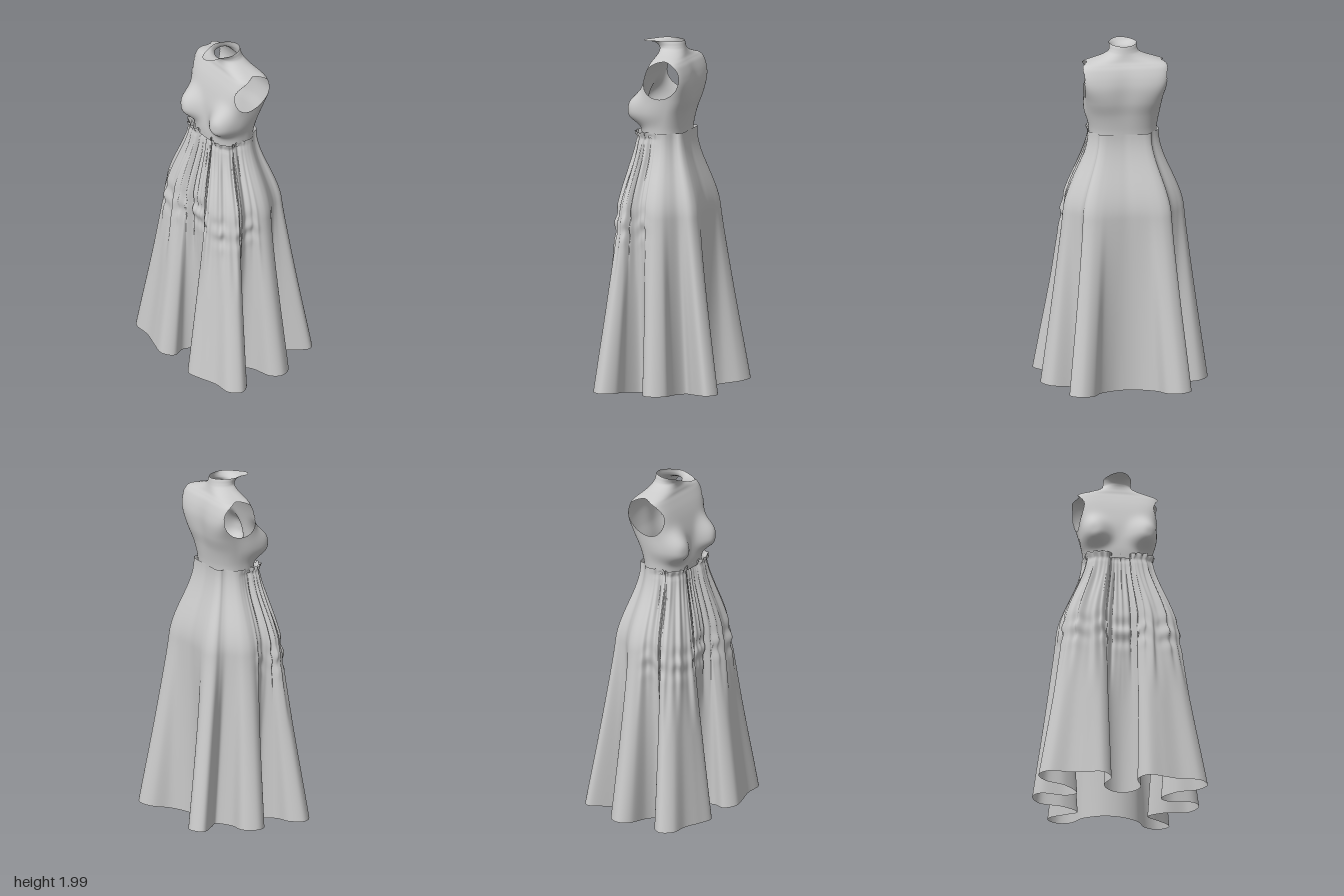
import * as THREE from 'three';

const mat = () => new THREE.MeshStandardMaterial({ color: 0xcccccc, side: THREE.DoubleSide });
const sstep = THREE.MathUtils.smoothstep;
const lerp = THREE.MathUtils.lerp;
const gauss = (d, s) => Math.exp(-(d * d) / (2 * s * s));

// Closed tube of rings: fn(u, v) gives [x, y, z]; u runs around from the front, v runs upward.
// A quad is left out when skip() is true for all its corners; other skipped corners are snapped.
function loft(name, nu, nv, fn, skip = () => false, snap = (p) => p) {
  const raw = [], index = [];
  for (let j = 0; j <= nv; j++) for (let i = 0; i < nu; i++) raw.push(fn(i / nu, j / nv));
  const out = raw.map(skip);
  for (let j = 0; j < nv; j++) {
    for (let i = 0; i < nu; i++) {
      const i2 = (i + 1) % nu;
      const a = j * nu + i, b = j * nu + i2, c = b + nu, d = a + nu;
      if (out[a] && out[b] && out[c] && out[d]) continue;
      index.push(a, b, c, a, c, d);
    }
  }
  const geo = new THREE.BufferGeometry();
  const pos = raw.map((p, k) => (out[k] ? snap(p) : p)).flat();
  geo.setAttribute('position', new THREE.Float32BufferAttribute(pos, 3));
  geo.setIndex(index);
  geo.computeVertexNormals();
  const mesh = new THREE.Mesh(geo, mat());
  mesh.name = name;
  return mesh;
}

// Mirrors a half outline (front centre to back centre) into a closed smooth curve.
function outline(half) {
  const other = half.slice(1, -1).reverse().map(([x, z]) => [-x, z]);
  const pts = [...half, ...other].map(([x, z]) => new THREE.Vector3(x, 0, z));
  return new THREE.CatmullRomCurve3(pts, true, 'catmullrom', 0.5);
}

// Hem with six deep folds, and the softly lobed hip it hangs from
const hem = outline([
  [0, .14], [.065, .165], [.105, .23], [.075, .315], [.13, .368], [.22, .35], [.32, .322], [.43, .318],
  [.482, .255], [.43, .185], [.32, .165], [.24, .1], [.3, .045], [.43, .025], [.475, -.04], [.42, -.115],
  [.29, -.108], [.2, -.155], [.255, -.215], [.34, -.3], [.335, -.345], [.275, -.37], [.207, -.335],
  [.16, -.245], [.085, -.195], [0, -.18]]);
const hip = outline([
  [0, .212], [.045, .21], [.075, .212], [.1, .225], [.135, .237], [.18, .24], [.225, .23], [.27, .213],
  [.305, .185], [.315, .155], [.31, .13], [.305, .1], [.318, .06], [.33, .03], [.335, -.01], [.325, -.05],
  [.3, -.085], [.265, -.12], [.25, -.15], [.245, -.178], [.228, -.198], [.195, -.21], [.155, -.213],
  [.11, -.213], [.055, -.21], [0, -.206]]);

const HIP_Y = 1.05, WAIST_Y = 1.485;

function skirtPoint(u, v) {
  let y = v * WAIST_Y;
  const h = hip.getPoint(u), e = hem.getPoint(u);
  // Folds open gradually below the hip; above it the skirt draws in to the waist
  const drop = HIP_Y - y;
  const s = (drop + Math.sqrt(drop * drop + 0.014)) / 2 / HIP_Y;
  const k = sstep(y, HIP_Y - 0.03, 1.47);
  const x = lerp(h.x, e.x, s) * lerp(1, 0.6, k);
  const z = lerp(h.z, e.z, s) * lerp(1, h.z > 0 ? 0.69 : 0.52, k);
  // Gathers across the front, crumpled at thigh height
  const a = Math.min(u, 1 - u) * Math.PI * 2;
  const front = sstep(h.z, -0.03, 0.12);
  const env = sstep(y, 0.5, 0.95) * (1 - 0.6 * sstep(y, 1.3, 1.45));
  let d = front * env * 0.006 * (Math.sin(a * 24 + 1.5 * y) + 0.8 * Math.sin(a * 37 + 1.3 - 3 * y)
    + 0.6 * Math.sin(a * 55 + 2 * y));
  const crumple = 0.6 + 0.4 * Math.sin(a * 17 + 0.8);
  const wave = y - 0.975 + 0.018 * Math.sin(a * 11) + 0.012 * Math.sin(a * 19 + 2);
  d += front * crumple * 0.01 * Math.cos(wave * 52) * gauss(y - 0.97, 0.06);
  // Gathered frill above the waist seam
  const frill = sstep(y, 1.452, 1.475);
  d += front * (frill * (0.007 + 0.004 * Math.cos(a * 40)) - 0.006 * gauss(y - 1.452, 0.01));
  y += front * frill * 0.003 * Math.cos(a * 33);
  const r = Math.hypot(x, z);
  // Hem rises slightly on the outer folds
  y += 0.005 + 0.026 * (1 - sstep(y, 0, 0.6)) * sstep(r, 0.2, 0.52);
  return [x + (x / r) * d, y, z + (z / r) * d];
}

// Bodice sections: height, half width, front z, back z, squareness
const sections = [
  [1.46, .19, .155, -.105, 2.4], [1.52, .194, .158, -.11, 2.5], [1.6, .206, .152, -.125, 2.8],
  [1.68, .217, .143, -.147, 3.6], [1.76, .23, .124, -.155, 4.8], [1.82, .24, .104, -.146, 5.4],
  [1.87, .243, .082, -.127, 5.2], [1.895, .234, .07, -.11, 4.4], [1.912, .19, .066, -.098, 3.2],
  [1.932, .132, .062, -.09, 2.4], [1.952, .092, .064, -.084, 2.1], [1.968, .08, .075, -.08, 2],
  [1.984, .078, .11, -.077, 2], [1.993, .08, .165, -.075, 2]];

// Smooth value of column c at t along the sections
function section(t, c) {
  const f = t * (sections.length - 1);
  const i = Math.min(Math.floor(f), sections.length - 2), w = f - i;
  const at = (k) => sections[THREE.MathUtils.clamp(k, 0, sections.length - 1)][c];
  const m0 = (at(i + 1) - at(i - 1)) / 2, m1 = (at(i + 2) - at(i)) / 2;
  const w2 = w * w, w3 = w2 * w;
  return (2 * w3 - 3 * w2 + 1) * at(i) + (w3 - 2 * w2 + w) * m0
    + (3 * w2 - 2 * w3) * at(i + 1) + (w3 - w2) * m1;
}

function bodicePoint(u, v) {
  const [y, hw, zf, zb, n] = [0, 1, 2, 3, 4].map((c) => section(v, c));
  const a = u * Math.PI * 2, s = Math.sin(a), c = Math.cos(a);
  // Even spacing around a rounded square of squareness n
  const q = (Math.abs(s) ** n + Math.abs(c) ** n) ** (1 / n);
  let x = (hw * s) / q;
  let z = (zf + zb) / 2 + (((zf - zb) / 2) * c) / q;
  // Chest narrower than the shoulder blades
  x *= 1 - 0.05 * (c / q) * sstep(y, 1.68, 1.8) * (1 - sstep(y, 1.9, 1.93));
  // Rounded bust, steep below, and a shallow groove down the back
  const dx = (Math.abs(x) - 0.138) / 0.08, dy = (y - 1.605) / (y < 1.605 ? 0.068 : 0.1);
  const bust = Math.exp(-((dx * dx + dy * dy) ** 1.5));
  z += 0.072 * bust * sstep(c, -0.1, 0.6);
  x += Math.sign(x) * 0.02 * bust * sstep(c, -0.3, 0.3);
  if (c < 0) z += 0.012 * gauss(x, 0.05) * gauss(y - 1.74, 0.1);
  // Collar narrows and dips towards its front lip
  const collar = sstep(y, 1.95, 1.99);
  x *= 1 - 0.2 * collar * sstep(z, 0.02, 0.1);
  return [x, y + 0.005 * collar * (1 - 2 * sstep(z, 0.06, 0.16)), z];
}

// Armholes: an ellipse seen from the side, leaning back towards the shoulder
const arm = { y: 1.798, ry: 0.108, rz: 0.109 };
const armZ = (y) => -0.012 - 0.15 * (y - arm.y);
const armRadius = ([, y, z]) => Math.hypot((y - arm.y) / arm.ry, (z - armZ(y)) / arm.rz);
const inArmhole = (p) => Math.abs(p[0]) > 0.12 && armRadius(p) < 1;
function toArmholeEdge(p) {
  const r = armRadius(p) || 1;
  const y = arm.y + (p[1] - arm.y) / r;
  return [p[0], y, armZ(y) + (p[2] - armZ(p[1])) / r];
}

export function createModel() {
  const dress = new THREE.Group();
  dress.name = 'dress';
  dress.add(loft('skirt', 400, 110, skirtPoint));
  dress.add(loft('bodice', 220, 130, bodicePoint, inArmhole, toArmholeEdge));
  return dress;
}
